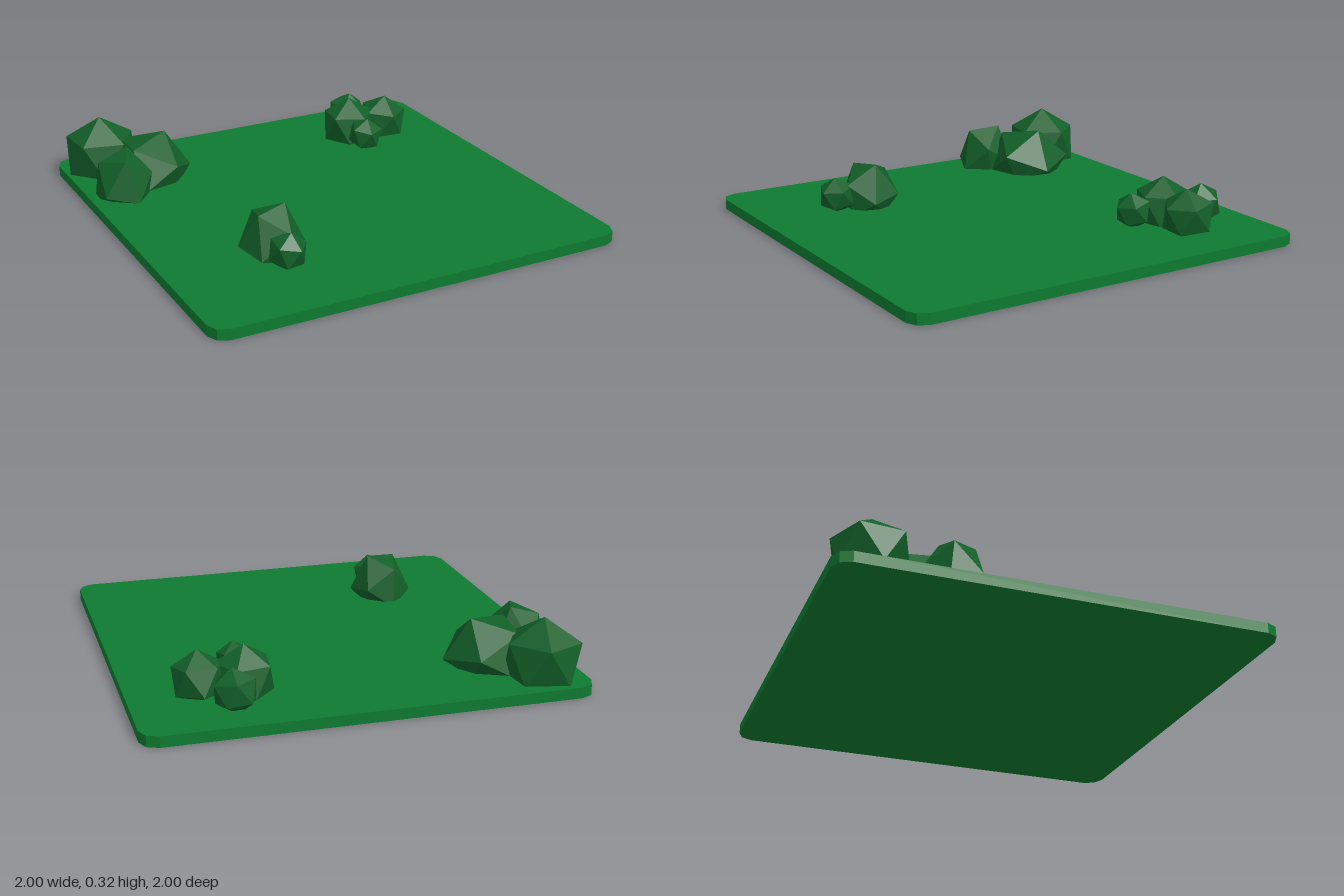
import * as THREE from 'three';

const VERTEX_UP = 0.5536; // roll that brings an icosahedron corner to the top
const FLOOR = 0.05;

const grass = new THREE.MeshStandardMaterial({ color: 0x0d7a30 });
const leaf = new THREE.MeshStandardMaterial({ color: 0x125f29, flatShading: true });

// Faceted bush: an icosahedron sunk into the ground slab
function bush(name, { x, z, r, y, stretch = 1, roll = VERTEX_UP, tilt = 0, yaw = 0 }) {
  const geo = new THREE.IcosahedronGeometry(r, 0);
  geo.rotateZ(roll).rotateX(tilt).rotateY(yaw).scale(1, stretch, 1).translate(x, y, z);
  // keep the hidden underside inside the slab
  const pos = geo.attributes.position;
  for (let i = 0; i < pos.count; i++) pos.setY(i, Math.max(pos.getY(i), 0.02));
  geo.computeVertexNormals();
  const mesh = new THREE.Mesh(geo, leaf);
  mesh.name = name;
  return mesh;
}

// Square slab with two-facet clipped corners
function groundSlab() {
  const corner = [[1, 0.925], [0.977, 0.977], [0.925, 1]];
  const pts = [];
  for (let k = 0; k < 4; k++) {
    const c = Math.round(Math.cos(k * Math.PI / 2)), s = Math.round(Math.sin(k * Math.PI / 2));
    for (const [a, b] of corner) pts.push(new THREE.Vector2(a * c - b * s, a * s + b * c));
  }
  const geo = new THREE.ExtrudeGeometry(new THREE.Shape(pts), { depth: FLOOR, bevelEnabled: false });
  geo.rotateX(-Math.PI / 2);
  const mesh = new THREE.Mesh(geo, grass);
  mesh.name = 'groundSlab';
  return mesh;
}

export function createModel() {
  const model = new THREE.Group();
  model.name = 'grassTile';
  model.add(groundSlab());

  const clusters = {
    backRightBushes: [
      { x: -0.815, z: -0.81, r: 0.19, y: 0.13, yaw: 0.72 },
      { x: -0.645, z: -0.605, r: 0.215, y: 0.075, roll: 0.15, tilt: 0.2, yaw: 0.5 },
      { x: -0.83, z: -0.455, r: 0.15, y: 0.08, stretch: 1.4, roll: 0.1, tilt: 0.15, yaw: 1.2 },
    ],
    backLeftBushes: [
      { x: 0.49, z: -0.62, r: 0.147, y: 0.115, yaw: 0.5 },
      { x: 0.685, z: -0.61, r: 0.13, y: 0.12, tilt: 0.12, yaw: 0.3 },
      { x: 0.565, z: -0.785, r: 0.105, y: 0.12, tilt: 0.15, yaw: 0.9 },
      { x: 0.49, z: -0.445, r: 0.09, y: 0.12, tilt: 0.2, yaw: 0.2 },
    ],
    frontRightBushes: [
      { x: -0.475, z: 0.435, r: 0.15, y: 0.085, stretch: 1.35, roll: 0.08, tilt: 0.12, yaw: 0.3 },
      { x: -0.48, z: 0.605, r: 0.092, y: 0.12, tilt: 0.2, yaw: 0.6 },
    ],
  };

  for (const [name, list] of Object.entries(clusters)) {
    const group = new THREE.Group();
    group.name = name;
    list.forEach((b, i) => group.add(bush(`bush${i + 1}`, b)));
    model.add(group);
  }
  return model;
}
